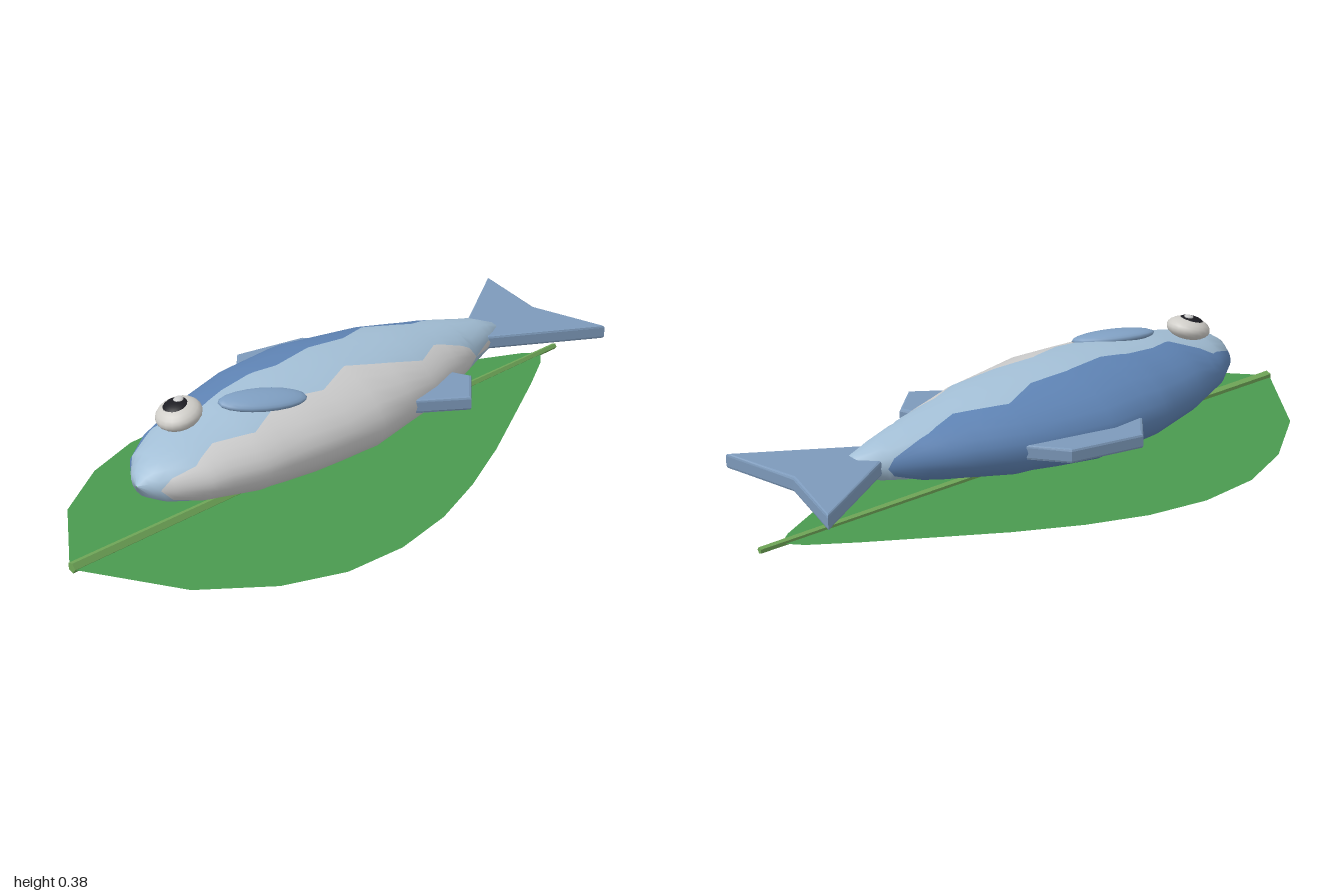
import * as THREE from 'three';

const mat = (color, extra = {}) => {
  const m = new THREE.MeshStandardMaterial(extra);
  m.color.set(color);
  return m;
};

function add(parent, name, geometry, material) {
  const mesh = new THREE.Mesh(geometry, material);
  mesh.name = name;
  parent.add(mesh);
  return mesh;
}

// Piecewise linear lookup of column k in rows of [x, ...values]
function lookup(rows, x, k = 1) {
  let i = 1;
  while (i < rows.length - 1 && rows[i][0] < x) i++;
  const [a, b] = [rows[i - 1], rows[i]];
  const t = THREE.MathUtils.clamp((x - a[0]) / (b[0] - a[0]), 0, 1);
  return a[k] + (b[k] - a[k]) * t;
}

// Body cross-sections: x, centre z, half width in z, half height in y
const SECTIONS = [
  [-0.765, 0, 0.002, 0.002], [-0.75, 0, 0.045, 0.035], [-0.7, -0.01, 0.105, 0.065],
  [-0.61, -0.015, 0.165, 0.09], [-0.44, -0.025, 0.225, 0.122], [-0.24, -0.04, 0.265, 0.14],
  [-0.03, -0.042, 0.278, 0.145], [0.24, -0.035, 0.22, 0.125], [0.45, -0.027, 0.143, 0.09],
  [0.62, -0.015, 0.07, 0.055], [0.68, 0, 0.035, 0.03], [0.685, 0, 0.002, 0.002],
];
// Zigzag colour borders: x, z
const BACK_EDGE = [
  [-0.73, -0.09], [-0.59, -0.145], [-0.46, -0.075], [-0.37, -0.1], [-0.26, -0.107], [-0.17, -0.085],
  [-0.02, -0.107], [0.11, -0.095], [0.23, -0.14], [0.38, -0.07], [0.48, -0.09], [0.63, -0.085],
];
const BELLY_EDGE = [
  [-0.73, 0.07], [-0.63, 0.1], [-0.55, 0.075], [-0.43, 0.12], [-0.29, 0.065], [-0.15, 0.1],
  [-0.02, 0.05], [0.09, 0.085], [0.24, 0.12], [0.34, 0.07], [0.51, 0.095], [0.6, 0.06],
];
const MID_Y = 0.2;

function buildBody() {
  const body = new THREE.Group();
  body.name = 'body';
  const xs = [...SECTIONS, ...BACK_EDGE, ...BELLY_EDGE].map((r) => r[0]);
  const stations = [...new Set(xs)].sort((a, b) => a - b);
  const counts = [6, 10, 6, 10]; // upper flank, back, lower flank, belly
  const ring = counts.reduce((a, b) => a + b);
  const pos = [], nor = [];

  for (const x of stations) {
    const [zc, hz, hy] = [1, 2, 3].map((k) => lookup(SECTIONS, x, k));
    const [dz, dhz, dhy] = [1, 2, 3].map(
      (k) => (lookup(SECTIONS, x + 0.04, k) - lookup(SECTIONS, x - 0.04, k)) / 0.08);
    const angleAt = (edge) => Math.acos(THREE.MathUtils.clamp((lookup(edge, x) - zc) / hz, -1, 1));
    const a = angleAt(BELLY_EDGE), b = angleAt(BACK_EDGE), turn = Math.PI * 2;
    const limits = [a, b, turn - b, turn - a, turn + a];
    counts.forEach((n, band) => {
      for (let j = 0; j < n; j++) {
        const t = THREE.MathUtils.lerp(limits[band], limits[band + 1], j / n);
        const c = Math.cos(t), s = Math.sin(t);
        pos.push(x, MID_Y + hy * s, zc + hz * c);
        const slope = -(c * c * dhz / hz + s * s * dhy / hy + c * dz / hz);
        nor.push(...new THREE.Vector3(slope, s / hy, c / hz).normalize().toArray());
      }
    });
  }

  const position = new THREE.Float32BufferAttribute(pos, 3);
  const normal = new THREE.Float32BufferAttribute(nor, 3);
  const colors = [0xa3bfd6, 0x5f84b5, 0xa3bfd6, 0xe6e6e6];
  const names = ['upperFlank', 'back', 'lowerFlank', 'belly'];
  let start = 0;
  counts.forEach((n, band) => {
    const index = [];
    for (let i = 0; i < stations.length - 1; i++) {
      for (let j = start; j < start + n; j++) {
        const p = i * ring + j, q = i * ring + (j + 1) % ring;
        index.push(p, p + ring, q, q, p + ring, q + ring);
      }
    }
    const g = new THREE.BufferGeometry();
    g.setAttribute('position', position);
    g.setAttribute('normal', normal);
    g.setIndex(index);
    add(body, names[band], g, mat(colors[band]));
    start += n;
  });
  return body;
}

// Flat fin with a small bevel, outlined by [x, z] points
function finGeometry(points) {
  const shape = new THREE.Shape(points.map(([x, z]) => new THREE.Vector2(x, -z)));
  const g = new THREE.ExtrudeGeometry(shape, {
    depth: 0.03, bevelEnabled: true, bevelThickness: 0.008, bevelSize: 0.008,
    bevelOffset: -0.008, bevelSegments: 2,
  });
  return g.rotateX(-Math.PI / 2).translate(0, MID_Y - 0.015, 0);
}

// Leaf blade, creased along the midrib and drooping to both sides
function leafGeometry() {
  const outline = [
    [-1, 0.01], [-0.81, 0.285], [-0.61, 0.425], [-0.42, 0.495], [-0.22, 0.508], [-0.02, 0.475],
    [0.17, 0.41], [0.37, 0.32], [0.57, 0.215], [0.75, 0.12], [0.88, 0.045], [0.93, 0],
  ];
  const pos = [];
  const point = (x, z) => [x, 0.035 - 0.067 * Math.abs(z), z];
  for (const side of [1, -1]) {
    for (let i = 0; i < outline.length - 1; i++) {
      const [x0, w0] = outline[i], [x1, w1] = outline[i + 1];
      const a = point(x0, 0), b = point(x0, side * w0), c = point(x1, side * w1), d = point(x1, 0);
      const quad = side > 0 ? [a, b, c, a, c, d] : [a, c, b, a, d, c];
      pos.push(...quad.flat());
    }
  }
  const g = new THREE.BufferGeometry();
  g.setAttribute('position', new THREE.Float32BufferAttribute(pos, 3));
  g.computeVertexNormals();
  return g;
}

export function createModel() {
  const model = new THREE.Group();
  model.name = 'fishOnLeaf';

  // Leaf and its midrib
  add(model, 'leafBlade', leafGeometry(), mat(0x4a9a4f, { side: THREE.DoubleSide, flatShading: true }));
  const rib = new THREE.CylinderGeometry(0.01, 0.017, 2, 5).rotateZ(-Math.PI / 2).translate(0, 0.036, 0);
  add(model, 'leafMidrib', rib, mat(0x6fa657, { flatShading: true }));

  const fish = new THREE.Group();
  fish.name = 'fish';
  model.add(fish);
  fish.add(buildBody());

  // Flat fins
  const fins = {
    tailFin: [[0.6, -0.05], [0.94, -0.26], [0.88, 0], [0.94, 0.255], [0.6, 0.05]],
    dorsalFin: [[-0.2, -0.24], [-0.06, -0.4], [0.17, -0.35], [0.29, -0.2]],
    ventralFin: [[0.08, 0.165], [0.27, 0.3], [0.375, 0.2], [0.34, 0.12]],
  };
  for (const [name, points] of Object.entries(fins)) {
    add(fish, name, finGeometry(points), mat(0x7d9abb, { flatShading: true }));
  }

  // Side fin lying on the upper flank
  const sideFin = add(fish, 'sideFin', new THREE.SphereGeometry(1, 20, 12), mat(0x7f9fc2));
  sideFin.scale.set(0.132, 0.022, 0.052);
  sideFin.position.set(-0.33, 0.33, 0.037);
  sideFin.rotation.set(0.16, -0.5, 0.03);

  // Bulging eye: eyeball, pupil and glint
  const eye = new THREE.Group();
  eye.name = 'eye';
  eye.position.set(-0.56, 0.332, -0.06);
  eye.rotation.z = 0.25;
  fish.add(eye);
  const eyePart = (name, color, scale, position) => {
    const m = add(eye, name, new THREE.SphereGeometry(1, 20, 12), mat(color));
    m.scale.set(...scale);
    m.position.set(...position);
  };
  eyePart('eyeball', 0xcfcdc8, [0.07, 0.036, 0.068], [0, 0, 0]);
  eyePart('pupil', 0x1c1c22, [0.04, 0.016, 0.04], [0, 0.024, -0.004]);
  eyePart('glint', 0xffffff, [0.015, 0.007, 0.015], [0.016, 0.037, -0.008]);

  return model;
}
